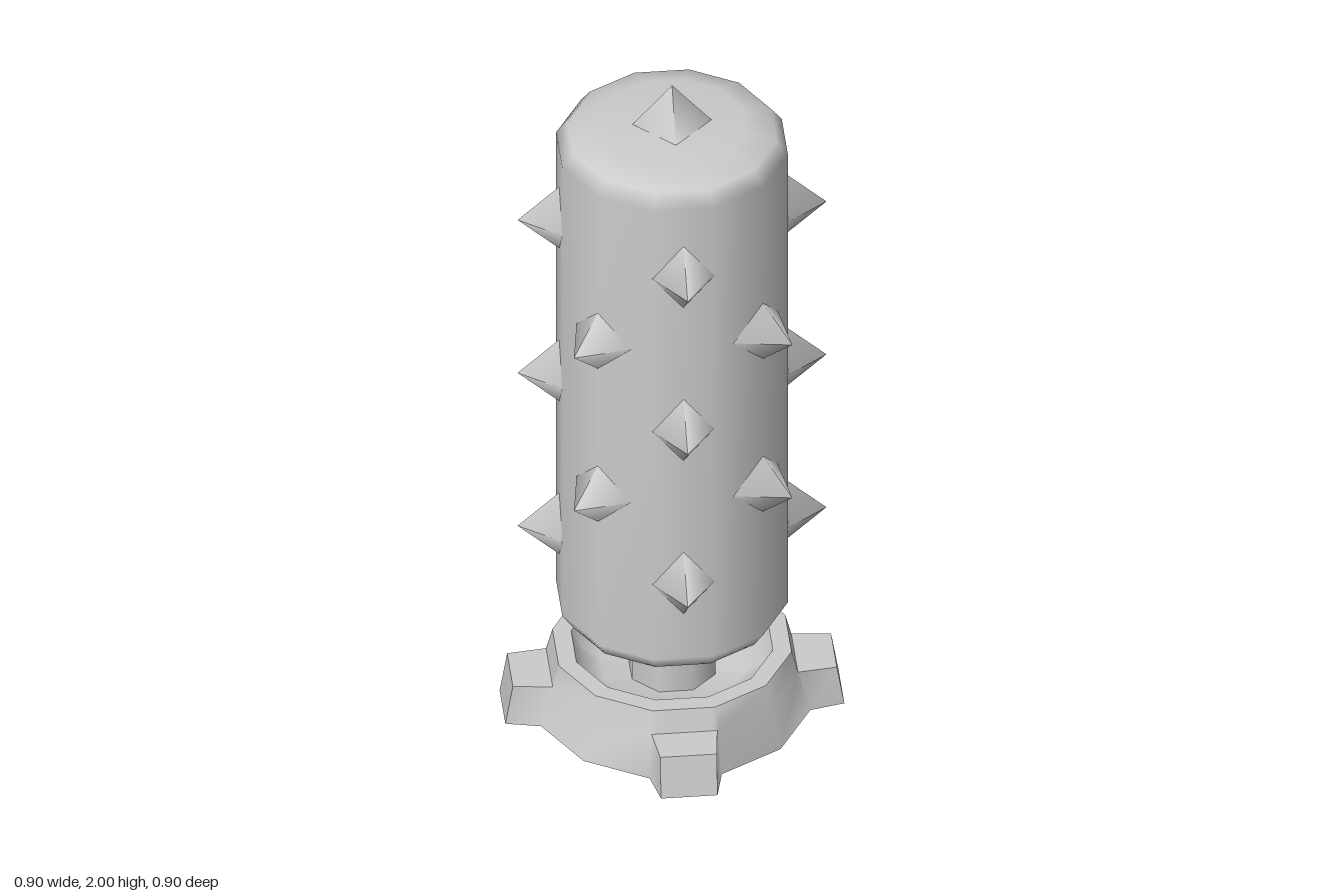
import * as THREE from 'three';
import { toCreasedNormals } from 'three/addons/utils/BufferGeometryUtils.js';

const material = new THREE.MeshStandardMaterial({ color: 0xcccccc });

function addMesh(parent, name, geometry) {
  const mesh = new THREE.Mesh(geometry, material);
  mesh.name = name;
  parent.add(mesh);
  return mesh;
}

// Lathe with flat facets facing the axes
function lathe(profile, sides) {
  const points = profile.map(([r, y]) => new THREE.Vector2(r, y));
  return new THREE.LatheGeometry(points, sides, Math.PI / sides);
}

// One base outline: a 12-gon of radius r whose four axis facets reach out to `foot`
function baseRing(r, y, foot) {
  const ring = [];
  const side = r * Math.sin(Math.PI / 12);
  const face = r * Math.cos(Math.PI / 12);
  const tip = foot ?? face;
  const half = foot ? 0.075 : side * 0.8;
  const diagonal = r * Math.SQRT1_2;
  const quarter = [[-side, face], [-half, tip], [half, tip], [side, face], [diagonal, diagonal]];
  for (let q = 0; q < 4; q++) {
    const c = Math.cos(q * Math.PI / 2), s = Math.sin(q * Math.PI / 2);
    for (const [x, z] of quarter) ring.push([x * c + z * s, y, z * c - x * s]);
  }
  return ring;
}

// Footed base: recessed top, outer wall with feet, hollow underside
function baseGeometry() {
  const rings = [
    baseRing(0.001, 0.1),
    baseRing(0.19, 0.1),
    baseRing(0.24, 0.13),
    baseRing(0.27, 0.185),
    baseRing(0.32, 0.185),
    baseRing(0.337, 0.12),
    baseRing(0.337, 0.12, 0.43),
    baseRing(0.37, 0, 0.45),
    baseRing(0.25, 0.07),
    baseRing(0.001, 0.07),
  ];
  const count = rings[0].length;
  const index = [];
  for (let i = 0; i < rings.length - 1; i++) {
    for (let j = 0; j < count; j++) {
      const next = (j + 1) % count;
      const a = i * count + j, b = a + count;
      const d = i * count + next, c = d + count;
      index.push(a, b, d, b, c, d);
    }
  }
  const geometry = new THREE.BufferGeometry();
  geometry.setAttribute('position', new THREE.Float32BufferAttribute(rings.flat(2), 3));
  geometry.setIndex(index);
  return toCreasedNormals(geometry, 0.95);
}

// Sideways four-sided spike, pointing outwards at the given angle
function addSpike(parent, y, angle) {
  const geometry = new THREE.ConeGeometry(0.127, 0.14, 4, 1, true);
  geometry.rotateX(Math.PI / 2);
  geometry.scale(0.82, 1, 1);
  geometry.translate(0, 0, 0.34);
  const spike = addMesh(parent, 'sideSpike', geometry);
  spike.position.y = y;
  spike.rotation.y = angle;
}

export function createModel() {
  const model = new THREE.Group();
  model.name = 'spikedPost';

  addMesh(model, 'base', baseGeometry());

  // Stem between base and body
  const stem = addMesh(model, 'stem', new THREE.CylinderGeometry(0.12, 0.12, 0.24, 8));
  stem.position.y = 0.18;
  stem.rotation.y = Math.PI / 8;

  // Rounded twelve-sided body
  addMesh(model, 'body', lathe([
    [0, 0.27], [0.2, 0.275], [0.28, 0.3], [0.31, 0.345],
    [0.31, 1.81], [0.28, 1.85], [0.2, 1.875], [0, 1.88],
  ], 12));

  // Alternating rows of spikes
  const spikes = new THREE.Group();
  spikes.name = 'spikes';
  model.add(spikes);
  for (let row = 0; row < 5; row++) {
    for (let k = 0; k < 4; k++) {
      addSpike(spikes, 0.59 + row * 0.25, (k + (row % 2) / 2) * Math.PI / 2);
    }
  }

  // Spike on top
  const top = addMesh(spikes, 'topSpike', new THREE.ConeGeometry(0.105, 0.12, 4));
  top.position.y = 1.94;

  return model;
}
